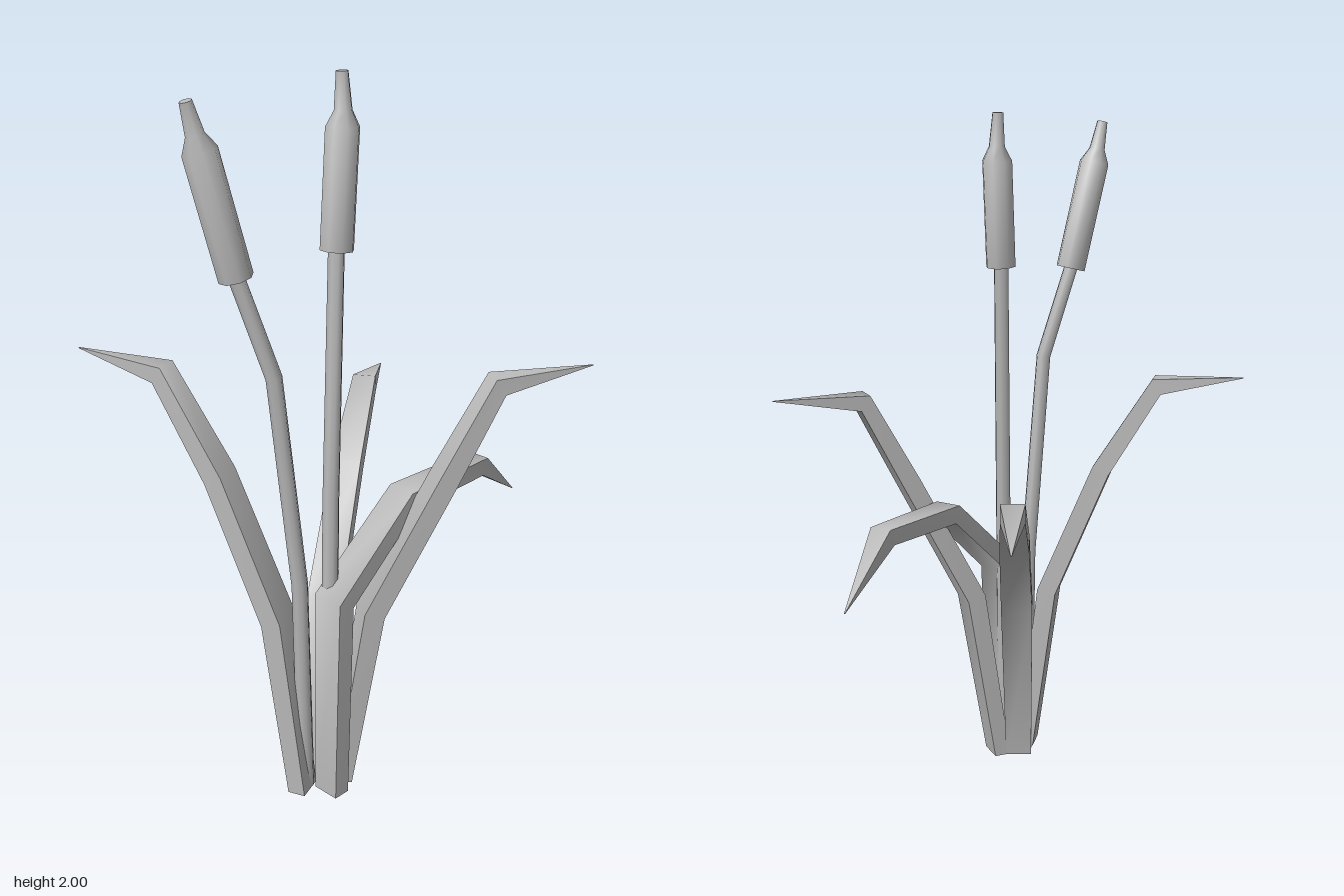
import * as THREE from 'three';
import { toCreasedNormals } from 'three/addons/utils/BufferGeometryUtils.js';

const V = (p) => new THREE.Vector3(p[0], p[1], p[2]);
const UP = new THREE.Vector3(0, 1, 0);

// Sweeps a cross-section along a path. section(i) lists [inward, sideways] offsets,
// counter-clockwise about the path; side is the fixed sideways direction.
function sweep(path, side, section, crease) {
  const pts = path.map(V);
  const pos = [];
  const rings = pts.map((p, i) => {
    const t = new THREE.Vector3();
    if (i > 0) t.add(p.clone().sub(pts[i - 1]).normalize());
    if (i < pts.length - 1) t.add(pts[i + 1].clone().sub(p).normalize());
    t.normalize();
    if (i === 0 && p.y === 0) t.copy(UP); // flat on the ground
    const s = side.clone().addScaledVector(t, -side.dot(t)).normalize();
    const n = new THREE.Vector3().crossVectors(s, t);
    return section(i).map(([a, b]) => p.clone().addScaledVector(n, a).addScaledVector(s, b));
  });
  const tri = (...v) => v.forEach((q) => pos.push(q.x, q.y, q.z));
  const k = rings[0].length;
  for (let i = 0; i < rings.length - 1; i++) {
    const a = rings[i], b = rings[i + 1];
    for (let j = 0; j < k; j++) {
      const m = (j + 1) % k;
      tri(a[j], a[m], b[m]);
      tri(a[j], b[m], b[j]);
    }
  }
  const first = rings[0], last = rings[rings.length - 1];
  for (let j = 1; j < k - 1; j++) {
    tri(first[0], first[j + 1], first[j]);
    tri(last[0], last[j], last[j + 1]);
  }
  const g = new THREE.BufferGeometry();
  g.setAttribute('position', new THREE.Float32BufferAttribute(pos, 3));
  return toCreasedNormals(g, crease);
}

// Leaf: a flat thick strip, the path running along its inner face
function leafGeometry(path, widths, depths) {
  const a = V(path[0]), b = V(path[path.length - 1]);
  const side = b.sub(a).setY(0).normalize().cross(UP).normalize();
  return sweep(path, side, (i) => {
    const w = widths[i] / 2, d = depths[i];
    return [[0, w], [-d, w], [-d, -w], [0, -w]];
  }, 1.15);
}

// Round part with one radius per path point
function roundGeometry(path, radii, sides) {
  return sweep(path, new THREE.Vector3(1, 0, 0), (i) =>
    Array.from({ length: sides }, (_, j) => {
      const q = ((j + 0.5) / sides) * Math.PI * 2;
      return [Math.cos(q) * radii[i], Math.sin(q) * radii[i]];
    }), 1.1);
}

export function createModel() {
  const grey = new THREE.MeshStandardMaterial({ color: 0xb8b8b8 });
  grey.name = 'plain grey';
  const model = new THREE.Group();
  model.name = 'cattailPlant';
  const add = (name, geometry, parent = model) => {
    const mesh = new THREE.Mesh(geometry, grey);
    mesh.name = name;
    parent.add(mesh);
  };

  // Leaves
  const widths = [0.08, 0.095, 0.085, 0.068, 0.003];
  const depths = [0.05, 0.058, 0.055, 0.052, 0.002];
  const leaves = {
    rightLeaf: [[-0.045, 0, 0.41], [-0.107, 0.54, 0.39], [-0.268, 0.945, 0.34], [-0.435, 1.225, 0.28], [-0.69, 1.235, 0.2]],
    leftLeaf: [[0.01, 0, 0.345], [0.09, 0.55, 0.325], [0.285, 0.94, 0.275], [0.425, 1.205, 0.23], [0.69, 1.21, 0.13]],
    frontLeaf: [[0, 0, 0.425], [0.008, 0.625, 0.432], [0.19, 0.865, 0.225], [0.395, 0.868, -0.02], [0.5, 0.685, -0.2]],
    backLeaf: [[-0.035, 0, 0.35], [-0.02, 0.545, 0.262], [0.015, 0.835, -0.02], [0.045, 1.003, -0.27], [0.075, 0.945, -0.535]],
  };
  for (const [name, path] of Object.entries(leaves)) add(name, leafGeometry(path, widths, depths));

  // Cattails: thin stalk, thick head and a narrow spike on top
  const cattails = {
    tallCattail: {
      stalk: [[0.005, 0, 0.395], [0.012, 0.9, 0.375], [0.021, 1.57, 0.313]],
      head: [[0.022, 1.56, 0.313], [0.034, 1.865, 0.288], [0.035, 1.905, 0.285], [0.032, 2, 0.282]],
    },
    leaningCattail: {
      stalk: [[-0.06, 0, 0.385], [-0.07, 0.65, 0.4], [-0.122, 1.265, 0.455], [-0.21, 1.54, 0.478]],
      head: [[-0.207, 1.53, 0.478], [-0.28, 1.845, 0.506], [-0.289, 1.885, 0.511], [-0.306, 1.965, 0.523]],
    },
  };
  for (const [name, { stalk, head }] of Object.entries(cattails)) {
    const group = new THREE.Group();
    group.name = name;
    model.add(group);
    add('stalk', roundGeometry(stalk, [0.024, 0.023, 0.022, 0.021], 8), group);
    add('head', roundGeometry(head, [0.045, 0.045, 0.024, 0.016], 8), group);
  }
  return model;
}
